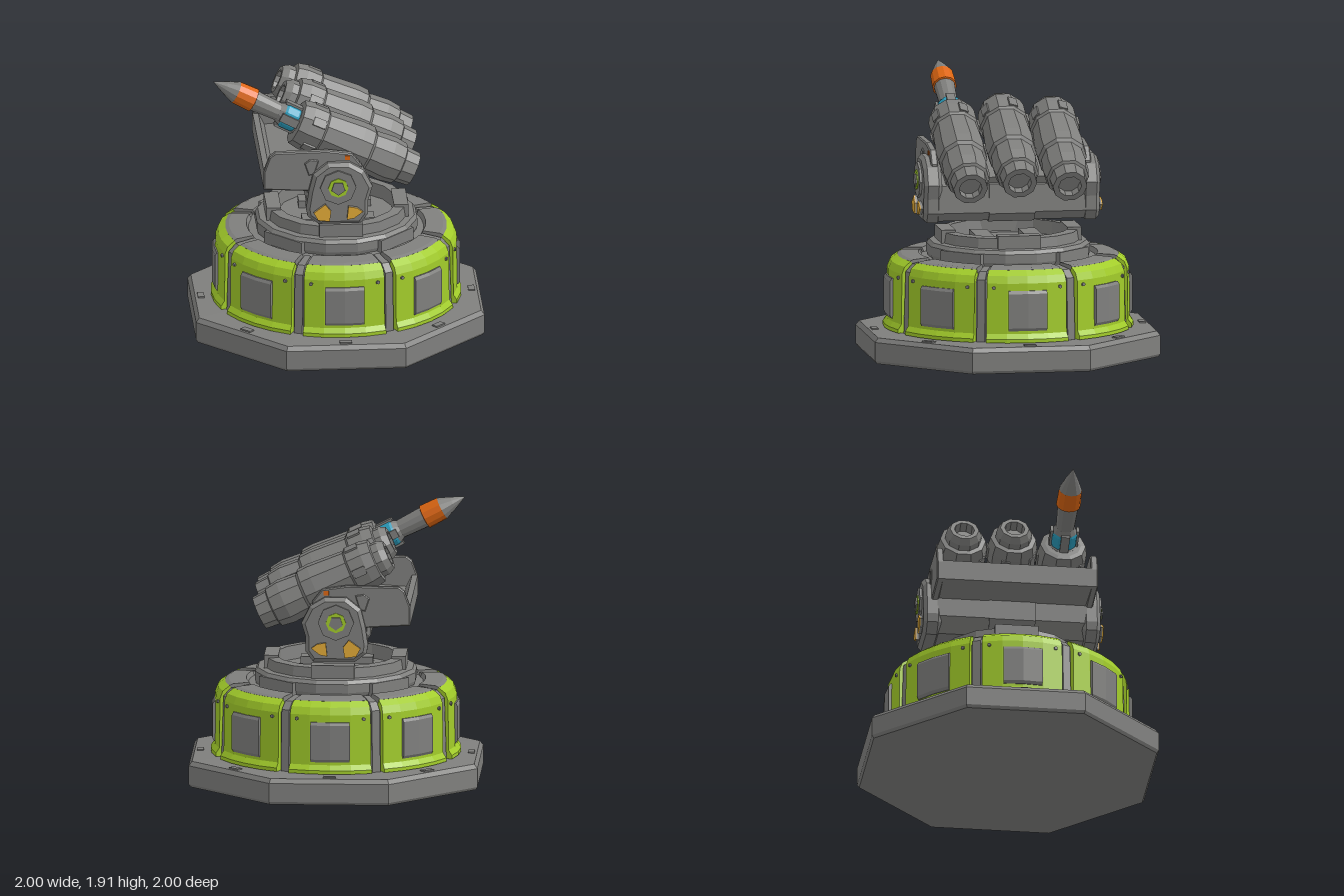
import * as THREE from 'three';
import { mergeGeometries } from 'three/addons/utils/BufferGeometryUtils.js';

const paint = (name, color) => {
  const m = new THREE.MeshStandardMaterial({ color, flatShading: true, side: THREE.DoubleSide });
  m.name = name;
  return m;
};

export function createModel() {
  const grey = paint('steel grey', 0x7f7f7d);
  const green = paint('lime green', 0xa2cc2a);
  const orange = paint('orange', 0xdd6612);
  const yellow = paint('amber', 0xe2aa38);
  const cyan = paint('cyan', 0x2b9dbd);
  const model = new THREE.Group();
  model.name = 'missileTurret';

  const add = (parent, name, geo, mat, x = 0, y = 0, z = 0) => {
    const m = new THREE.Mesh(geo, mat);
    m.name = name;
    m.position.set(x, y, z);
    parent.add(m);
    return m;
  };
  const group = (parent, name, x = 0, y = 0, z = 0) => {
    const g = new THREE.Group();
    g.name = name;
    g.position.set(x, y, z);
    parent.add(g);
    return g;
  };
  const vec = (pts) => pts.map((p) => new THREE.Vector2(p[0], p[1]));
  const lathe = (pts, sides, start = 0) => new THREE.LatheGeometry(vec(pts), sides, start);
  const box = (w, h, d) => new THREE.BoxGeometry(w, h, d);
  const extrude = (pts, depth, bevel = 0) => new THREE.ExtrudeGeometry(new THREE.Shape(vec(pts)), {
    depth, bevelEnabled: bevel > 0, bevelSize: bevel, bevelThickness: bevel, bevelOffset: -bevel, bevelSegments: 1,
  });
  // Part of a ring, centred on +z, with closed ends
  const sector = (pts, half, segs) => {
    const closed = [...pts, pts[0]];
    const parts = [new THREE.LatheGeometry(vec(closed), segs, -half, half * 2)];
    for (const phi of [-half, half]) {
      parts.push(new THREE.ShapeGeometry(new THREE.Shape(vec(pts))).rotateY(phi - Math.PI / 2));
    }
    return mergeGeometries(parts);
  };

  // Octagonal ground slab
  const base = group(model, 'base');
  add(base, 'groundSlab', lathe([[0, 0], [1.065, 0], [1.08, 0.02], [1.08, 0.15], [1.055, 0.18], [0.8, 0.19], [0, 0.19]], 8, Math.PI / 8), grey);
  add(base, 'core', lathe([[0.8, 0.18], [0.8, 0.6], [0.74, 0.655], [0.5, 0.68], [0, 0.68]], 32), grey);

  // Eight armour panels with ribs between them
  const shell = [[0.78, 0.19], [0.865, 0.19], [0.865, 0.215], [0.84, 0.25], [0.835, 0.6], [0.815, 0.65], [0.765, 0.685], [0.74, 0.64]];
  const shoulder = [[0.6, 0.66], [0.74, 0.64], [0.766, 0.685], [0.74, 0.695], [0.62, 0.7]];
  const rib = [[0.6, 0.6], [0.78, 0.18], [0.83, 0.19], [0.815, 0.62], [0.76, 0.672], [0.62, 0.69]];
  const hatch = [[0.82, 0.27], [0.845, 0.27], [0.858, 0.29], [0.858, 0.53], [0.845, 0.55], [0.82, 0.55]];
  for (let i = 0; i < 8; i++) {
    const side = group(base, 'armourSide');
    side.rotation.y = i * Math.PI / 4;
    add(side, 'armourPanel', sector(shell, 0.34, 4), green);
    add(side, 'panelShoulder', sector(shoulder, 0.33, 4), grey);
    add(side, 'hatch', sector(hatch, 0.16, 2), grey);
    add(side, 'slabSlot', box(0.085, 0.02, 0.045), grey, 0, 0.181, 0.935);
    add(side, 'rib', sector(rib, 0.035, 1).rotateY(Math.PI / 8), grey);
    for (const s of [-1, 1]) {
      const bolt = add(side, 'bolt', new THREE.CylinderGeometry(0.013, 0.013, 0.02, 6).rotateX(Math.PI / 2), grey,
        Math.sin(s * 0.28) * 0.835, 0.57, Math.cos(0.28) * 0.835);
      bolt.rotation.y = s * 0.28;
    }
  }

  // Open rotating collar on top of the base
  const collar = group(model, 'collar');
  add(collar, 'collarRing', lathe([[0.55, 0.66], [0.565, 0.7], [0.565, 0.76], [0.545, 0.785], [0.5, 0.79], [0.49, 0.86], [0.42, 0.865], [0.41, 0.77], [0, 0.77]], 16, Math.PI / 16), grey);
  for (let i = 0; i < 4; i++) {
    const lug = group(collar, 'collarLug');
    lug.rotation.y = i * Math.PI / 2;
    add(lug, 'lugBlock', box(0.3, 0.1, 0.1), grey, 0, 0.83, 0.44);
    const step = add(lug, 'lugStep', box(0.34, 0.1, 0.09), grey, 0.365, 0.71, 0.365);
    step.rotation.y = Math.PI / 4;
  }
  for (const z of [-0.17, 0.17]) add(collar, 'floorBar', box(0.5, 0.05, 0.12), grey, 0, 0.795, z);

  // Cradle: cross body, tray and saddle
  const launcher = group(model, 'launcher');
  const crossBody = [[-0.24, 1.18], [-0.24, 1.04], [-0.16, 0.94], [0.13, 0.94], [0.18, 1.0], [0.17, 1.19], [0, 1.26]];
  add(launcher, 'crossBody', extrude(crossBody, 1.04), grey, 0, 0, -0.52);
  add(launcher, 'centreBand', extrude(crossBody.map(([x, y]) => [x * 1.04, y + (y < 1.1 ? -0.008 : 0.008)]), 0.32), grey, 0, 0, -0.16);
  add(launcher, 'tray', extrude([[-0.54, 1.18], [-0.2, 1.17], [-0.15, 1.26], [-0.46, 1.24], [-0.5, 1.32], [-0.54, 1.32]], 1.04), grey, 0, 0, -0.52);
  add(launcher, 'saddle', box(0.42, 0.12, 0.92), grey, -0.04, 1.28, 0).rotation.z = -0.436;

  // Mirrored side plates with pivots
  const wing = [[-0.54, 1.18], [-0.2, 1.16], [0.14, 1.16], [0.14, 1.34], [0.07, 1.43], [-0.1, 1.455], [-0.46, 1.45], [-0.5, 1.42], [-0.54, 1.31]];
  const pod = [[-0.25, 1.05], [-0.24, 0.99], [-0.16, 0.93], [0.13, 0.93], [0.18, 1.0], [0.18, 1.1], [0.21, 1.2], [0.15, 1.32], [0.05, 1.38], [-0.1, 1.38], [-0.2, 1.3], [-0.23, 1.18]];
  const badge = [[-0.26, 1.37], [-0.23, 1.28], [-0.19, 1.29], [-0.16, 1.39], [-0.22, 1.4]];
  const markers = [
    [[-0.2, 1.03], [-0.17, 0.975], [-0.09, 0.965], [-0.08, 1.04], [-0.12, 1.09]],
    [[0.03, 0.975], [0.08, 0.985], [0.14, 1.03], [0.1, 1.06], [0.04, 1.07]],
  ];
  for (const s of [1, -1]) {
    const side = group(launcher, s > 0 ? 'frontSupport' : 'backSupport');
    const plate = (name, pts, z0, z1, mat, bevel = 0) =>
      add(side, name, extrude(pts, z1 - z0 - 2 * bevel, bevel), mat, 0, 0, (s > 0 ? z0 : -z1) + bevel);
    const disc = (name, r, sides, z0, z1, mat) =>
      add(side, name, new THREE.CylinderGeometry(r, r, z1 - z0, sides).rotateX(Math.PI / 2), mat, -0.03, 1.21, s * (z0 + z1) / 2);
    plate('wingPlate', wing, 0.51, 0.56, grey, 0.008);
    plate('pivotPod', pod, 0.49, 0.615, grey, 0.025);
    plate('wingBadge', badge, 0.55, 0.57, grey, 0.006);
    disc('pivotHub', 0.125, 8, 0.6, 0.632, grey);
    disc('pivotRing', 0.07, 8, 0.63, 0.64, green);
    disc('pivotCap', 0.05, 5, 0.63, 0.65, grey);
    for (const pts of markers) {
      plate('markerPad', pts, 0.6, 0.632, grey);
      plate('marker', pts, 0.632, 0.641, yellow);
    }
    add(side, 'warningLamp', box(0.035, 0.03, 0.03), orange, 0.04, 1.405, s * 0.55);
  }

  // Three launch tubes, the front one loaded
  const tail = [[0, 0.06], [0.08, 0.06], [0.08, 0], [0.12, 0], [0.128, 0.1], [0.147, 0.11], [0.16, 0.2], [0.15, 0.34],
    [0.17, 0.36], [0.175, 0.44], [0.158, 0.7], [0.172, 0.715], [0.172, 0.82], [0.158, 0.89], [0.125, 0.895]];
  const snout = [[0.125, 0.94], [0.1, 0.985], [0.07, 0.985], [0.07, 0.91], [0, 0.91]];
  for (const [z, lift] of [[-0.35, 0], [0, 0.03], [0.345, 0]]) {
    const loaded = z > 0.1;
    const tube = group(launcher, 'launchTube', 0.51, 1.22 + lift, z);
    tube.rotation.z = THREE.MathUtils.degToRad(65);
    add(tube, 'tubeShell', lathe([...tail, ...(loaded ? [[0, 0.9]] : snout)], 10), grey);
    for (let i = 0; i < 5; i++) {
      const a = (i + 0.5) * Math.PI * 0.4;
      const clamp = add(tube, 'tubeClamp', box(0.06, 0.09, 0.022), grey, Math.sin(a) * 0.165, 0.77, Math.cos(a) * 0.165);
      clamp.rotation.y = a;
    }
  }

  // Missile leaving the front tube
  const missile = group(launcher, 'missile', -0.26, 1.59, 0.345);
  missile.rotation.z = THREE.MathUtils.degToRad(62.5);
  add(missile, 'missileBody', lathe([[0.1, -0.04], [0.1, 0.04], [0.086, 0.05], [0.086, 0.15], [0.065, 0.19], [0.074, 0.38]], 12), grey);
  add(missile, 'tailBand', lathe([[0.088, 0.045], [0.093, 0.06], [0.093, 0.14], [0.085, 0.155]], 12), cyan);
  for (let i = 0; i < 4; i++) {
    const a = i * Math.PI / 2;
    const strip = add(missile, 'tailStrip', box(0.06, 0.14, 0.02), grey, Math.sin(a) * 0.09, 0.1, Math.cos(a) * 0.09);
    strip.rotation.y = a;
  }
  add(missile, 'warheadBand', lathe([[0.07, 0.375], [0.085, 0.38], [0.08, 0.515]], 12), orange);
  add(missile, 'noseCone', lathe([[0.08, 0.515], [0.045, 0.6], [0, 0.695]], 12), grey);

  return model;
}
